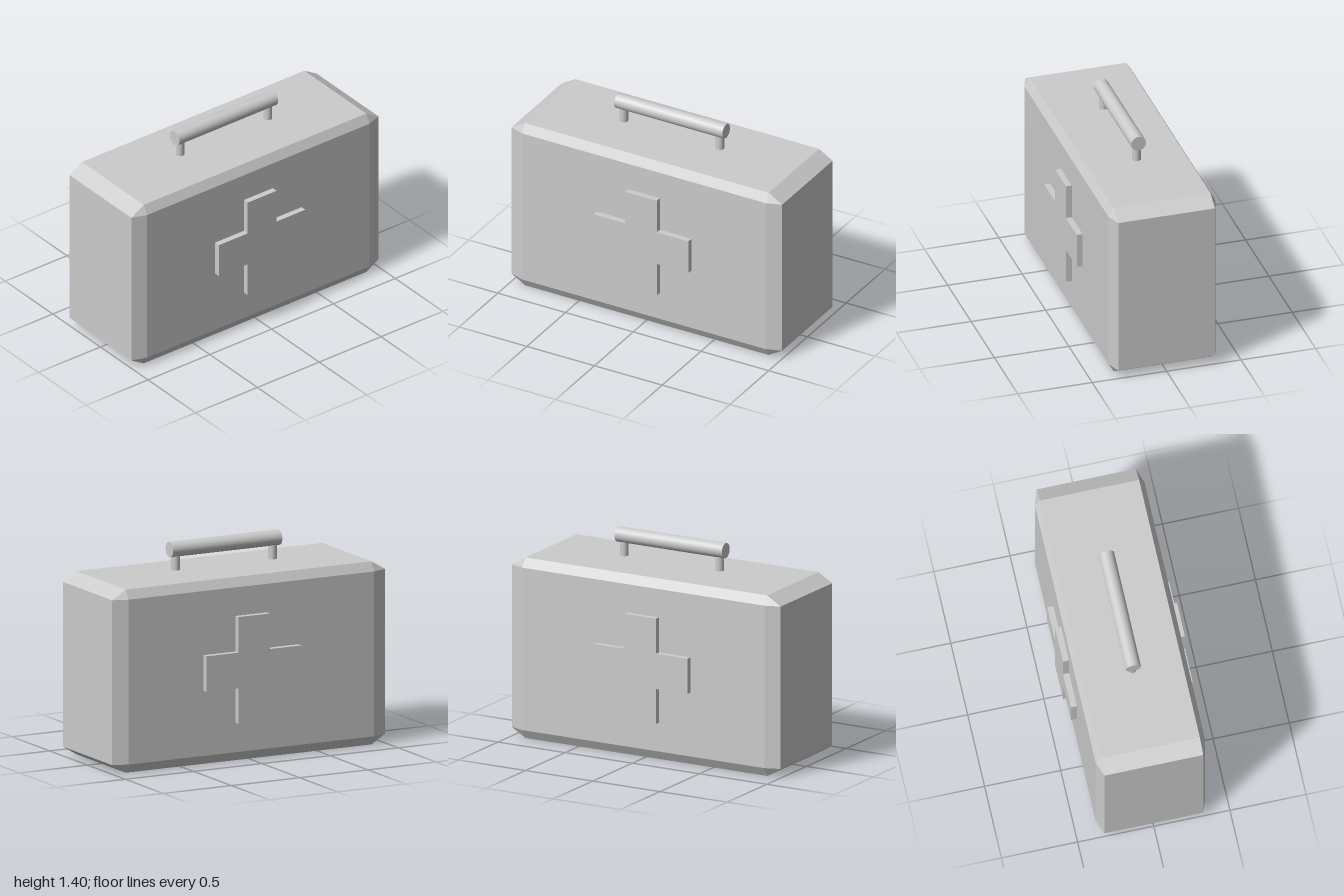
import * as THREE from 'three';
import { ConvexGeometry } from 'three/addons/geometries/ConvexGeometry.js';

const material = new THREE.MeshStandardMaterial({ color: 0xcccccc });

function addPart(parent, name, geometry, x, y, z) {
  const mesh = new THREE.Mesh(geometry, material);
  mesh.name = name;
  mesh.position.set(x, y, z);
  parent.add(mesh);
  return mesh;
}

// Box with every edge cut off: each corner becomes three points
function chamferedBox(half, cut) {
  const points = [];
  for (const sx of [-1, 1]) for (const sy of [-1, 1]) for (const sz of [-1, 1]) {
    for (let axis = 0; axis < 3; axis++) {
      const p = half.map((h, i) => (i === axis ? h : h - cut[i]));
      points.push(new THREE.Vector3(sx * p[0], sy * p[1], sz * p[2]));
    }
  }
  return new ConvexGeometry(points);
}

// Plus-shaped plate, extruded along x
function crossPlate(reach, arm, depth) {
  const corners = [
    [arm, arm], [arm, reach], [-arm, reach], [-arm, arm], [-reach, arm], [-reach, -arm],
    [-arm, -arm], [-arm, -reach], [arm, -reach], [arm, -arm], [reach, -arm], [reach, arm],
  ];
  const shape = new THREE.Shape(corners.map(([u, v]) => new THREE.Vector2(u, v)));
  const geometry = new THREE.ExtrudeGeometry(shape, { depth, bevelEnabled: false });
  return geometry.translate(0, 0, -depth / 2).rotateY(Math.PI / 2);
}

export function createModel() {
  const model = new THREE.Group();
  model.name = 'medicalCase';

  // Case body
  addPart(model, 'caseBody', chamferedBox([0.36, 0.6, 1], [0.035, 0.06, 0.1]), 0, 0.6, 0);

  // Raised crosses on both broad sides, sunk partly into the body
  const cross = crossPlate(0.35, 0.117, 0.1);
  addPart(model, 'leftCross', cross, 0.35, 0.603, 0);
  addPart(model, 'rightCross', cross, -0.35, 0.603, 0);

  // Carrying handle: a round bar on two short posts
  const handle = new THREE.Group();
  handle.name = 'handle';
  model.add(handle);
  const bar = new THREE.CylinderGeometry(0.05, 0.05, 0.8, 32).rotateX(Math.PI / 2);
  addPart(handle, 'handleBar', bar, 0, 1.35, 0);
  const post = new THREE.CylinderGeometry(0.028, 0.028, 0.12, 32);
  addPart(handle, 'frontPost', post, 0, 1.274, 0.355);
  addPart(handle, 'backPost', post, 0, 1.274, -0.355);

  return model;
}
